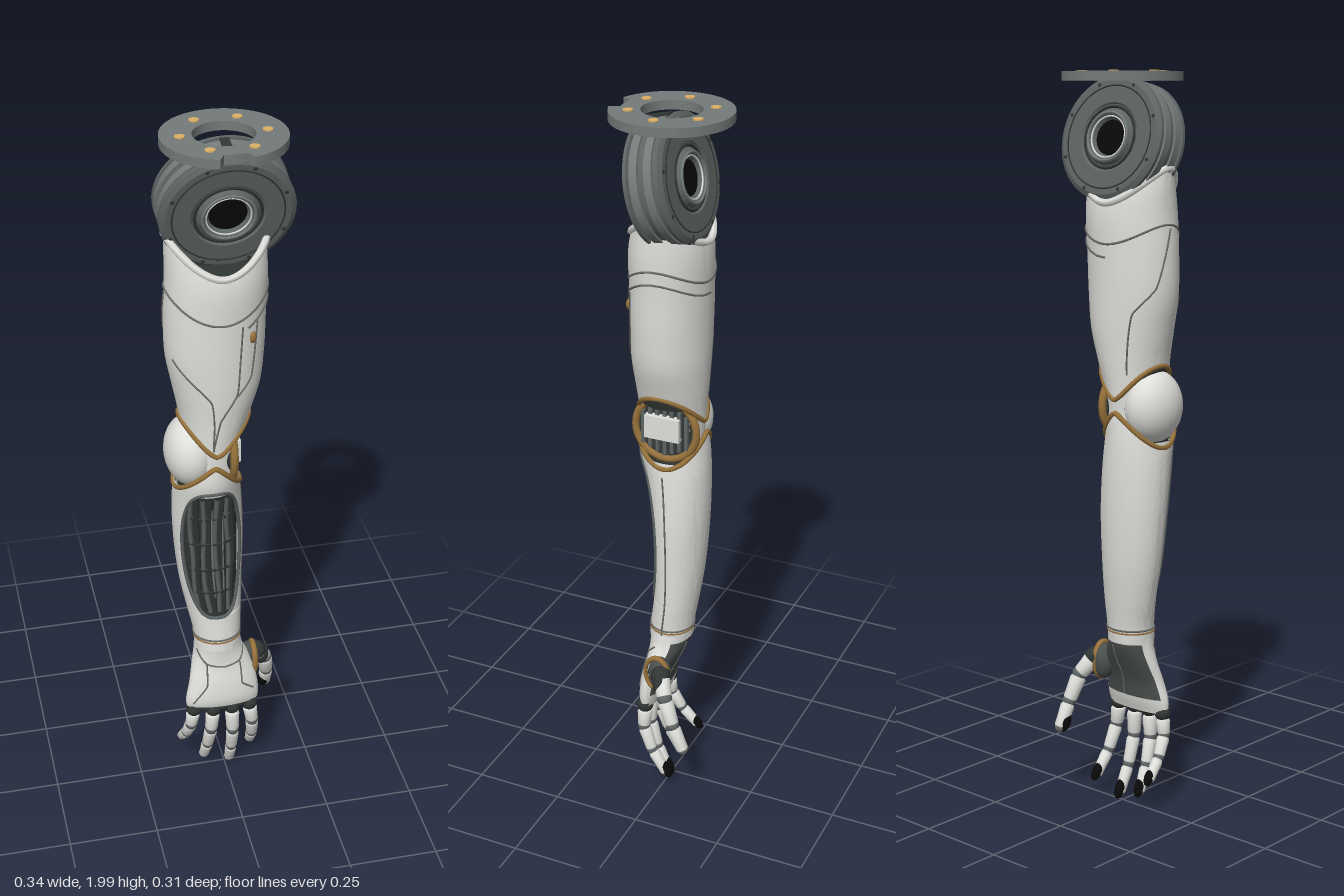
import * as THREE from 'three';
import { toCreasedNormals } from 'three/addons/utils/BufferGeometryUtils.js';

const mat = (name, color, side = THREE.FrontSide) => {
  const m = new THREE.MeshStandardMaterial({ color, side });
  m.name = name;
  return m;
};
const white = mat('shell white', 0xdfdfdb, THREE.DoubleSide);
const flangeGray = mat('flange gray', 0x757b7a);
const jointGray = mat('joint gray', 0x5e6564);
const seamGray = mat('seam gray', 0x6c6e6a);
const palmGray = mat('palm gray', 0x4a504e, THREE.DoubleSide);
const dark = mat('dark mechanism', 0x313735, THREE.DoubleSide);
const gold = mat('bolt gold', 0xdeb068);
const bronze = mat('trim bronze', 0x98733c);
const black = mat('black rubber', 0x0a0a0a);

const V = (x, y, z) => new THREE.Vector3(x, y, z);
const RAD = Math.PI / 180, TAU = Math.PI * 2;

export function createModel() {
  const root = new THREE.Group();
  root.name = 'mechanicalArm';

  const add = (name, geo, material, pos = [0, 0, 0], parent = root) => {
    const m = new THREE.Mesh(geo, material);
    m.name = name;
    m.position.set(...pos);
    parent.add(m);
    return m;
  };

  // Surface of elliptical sections [y, xMin, xMax, zMin, zMax], lowest first
  const limb = (rows) => {
    const f = new THREE.CubicInterpolant(rows.map(r => r[0]), new Float32Array(rows.flatMap(r => r.slice(1))), 4);
    return (y, a, s = 1) => {
      const [x0, x1, z0, z1] = f.evaluate(Math.min(Math.max(y, rows[0][0]), rows.at(-1)[0]));
      return V((x0 + x1) / 2 + s * (x1 - x0) / 2 * Math.cos(a), y, (z0 + z1) / 2 + s * (z1 - z0) / 2 * Math.sin(a));
    };
  };

  // Skin over a limb surface; low/high give the edges by angle, span the angles by height
  const skin = (at, low, high, { s = 1, span = () => [0, TAU], nu = 56, nv = 48 } = {}) => {
    const pos = [], idx = [];
    for (let j = 0; j <= nv; j++) for (let i = 0; i <= nu; i++) {
      const [a0, a1] = span(low(0) + (high(0) - low(0)) * j / nv);
      const a = a0 + (a1 - a0) * i / nu;
      pos.push(...at(low(a) + (high(a) - low(a)) * j / nv, a, s).toArray());
      if (i < nu && j < nv) {
        const k = j * (nu + 1) + i, up = k + nu + 1;
        idx.push(k, up, k + 1, k + 1, up, up + 1);
      }
    }
    const g = new THREE.BufferGeometry();
    g.setAttribute('position', new THREE.Float32BufferAttribute(pos, 3));
    g.setIndex(idx);
    return toCreasedNormals(g, 0.7);
  };
  const arc = (d0, d1) => () => [d0 * RAD, d1 * RAD];

  const tube = (name, pts, r, material, closed = false) =>
    add(name, new THREE.TubeGeometry(new THREE.CatmullRomCurve3(pts, closed), pts.length * 2, r, 6, closed), material);

  // Line lying on a limb, through [degrees, y] points
  const seam = (name, at, pts, r = 0.0024) => {
    const c = new THREE.CatmullRomCurve3(pts.map(p => V(p[0] * RAD, p[1], 0)), false, 'catmullrom', 0.2);
    tube(name, c.getPoints(28).map(p => at(p.y, p.x, 1.008)), r, seamGray);
  };
  const ring = (name, at, edge, r, material) =>
    tube(name, Array.from({ length: 48 }, (_, i) => at(edge(i / 48 * TAU), i / 48 * TAU)), r, material, true);

  // Mounting flange with front notch and bolts
  const plate = new THREE.Shape();
  plate.absarc(0, 0, 0.157, -Math.PI / 2 + 0.27, Math.PI * 1.5 - 0.27);
  plate.absarc(0, 0, 0.128, -Math.PI / 2 - 0.22, -Math.PI / 2 + 0.22);
  plate.closePath();
  const hole = new THREE.Path();
  hole.absarc(0, 0, 0.077, 0, TAU, true);
  plate.holes.push(hole);
  add('flange', new THREE.ExtrudeGeometry(plate, { depth: 0.024, bevelEnabled: false, curveSegments: 48 })
    .rotateX(-Math.PI / 2), flangeGray, [0, 1.973, 0]);
  for (let i = 0; i < 6; i++)
    add('flangeBolt', new THREE.CylinderGeometry(0.0135, 0.0135, 0.01, 8), gold,
      [0.108 * Math.cos(i * 60 * RAD), 1.995, 0.108 * Math.sin(i * 60 * RAD)]);

  // Tilted shoulder drum: broad flat faces, banded rim and hub
  const drum = new THREE.Group();
  drum.name = 'shoulderDrum';
  drum.position.set(0, 1.819, 0);
  drum.rotation.x = Math.PI / 2 + 0.23;
  drum.scale.x = 1.05;
  root.add(drum);
  const half = [[0.045, 0.045], [0.058, 0.061], [0.068, 0.061], [0.074, 0.051], [0.086, 0.051], [0.09, 0.055], [0.15, 0.055],
    [0.163, 0.047], [0.163, 0.038], [0.156, 0.036], [0.156, 0.006]];
  const profile = [...half.map(([r, h]) => [r, -h]), ...half.slice().reverse()];
  add('drumBody', toCreasedNormals(new THREE.LatheGeometry(profile.map(p => new THREE.Vector2(...p)), 56), 0.5), jointGray, [0, 0, 0], drum);
  add('hubBore', new THREE.CylinderGeometry(0.046, 0.046, 0.094, 32), black, [0, 0, 0], drum);
  for (const s of [-1, 1]) {
    add('rimBand', new THREE.CylinderGeometry(0.162, 0.162, 0.021, 56), flangeGray, [0, s * 0.0195, 0], drum);
    add('hubRing', new THREE.TorusGeometry(0.063, 0.004, 8, 40).rotateX(Math.PI / 2), flangeGray, [0, s * 0.061, 0], drum);
    add('hubLine', new THREE.TorusGeometry(0.054, 0.0025, 6, 40).rotateX(Math.PI / 2), white, [0, s * 0.057, 0], drum);
    add('faceGroove', new THREE.TorusGeometry(0.08, 0.004, 6, 48).rotateX(Math.PI / 2), dark, [0, s * 0.051, 0], drum);
    add('faceLine', new THREE.TorusGeometry(0.134, 0.002, 6, 48).rotateX(Math.PI / 2), dark, [0, s * 0.055, 0], drum);
    for (let i = 0; i < 8; i++)
      add('drumScrew', new THREE.CylinderGeometry(0.005, 0.005, 0.01, 8), dark,
        [0.145 * Math.cos((i + 0.5) * 45 * RAD), s * 0.051, 0.145 * Math.sin((i + 0.5) * 45 * RAD)], drum);
  }
  add('drumKey', new THREE.BoxGeometry(0.022, 0.07, 0.012), dark, [0, 0, -0.16], drum);

  // Upper arm shell: scooped collar on top, arched edge at the elbow
  const upper = limb([[1.1, -0.115, 0.035, -0.075, 0.105], [1.17, -0.118, 0.04, -0.078, 0.106], [1.25, -0.125, 0.065, -0.085, 0.11],
    [1.33, -0.14, 0.09, -0.09, 0.115], [1.42, -0.156, 0.1, -0.092, 0.117], [1.53, -0.158, 0.104, -0.094, 0.117],
    [1.64, -0.153, 0.108, -0.095, 0.116], [1.7, -0.153, 0.106, -0.085, 0.102], [1.77, -0.152, 0.104, -0.055, 0.075]]);
  const collar = a => 1.665 + (Math.cos(a) < 0 ? 0.09 : 0.07) * Math.abs(Math.cos(a)) ** 1.8;
  const elbowHigh = a => 1.152 + 0.088 * Math.abs(Math.cos(a)) ** 1.4;
  add('upperArmShell', skin(upper, elbowHigh, collar), white);
  ring('collarRim', upper, collar, 0.01, white);
  ring('upperElbowTrim', upper, elbowHigh, 0.007, bronze);
  add('upperArmCore', skin(upper, () => 1.2, () => 1.66, { s: 0.94, nv: 12 }), dark);
  add('collarFloor', new THREE.CircleGeometry(1, 32).rotateX(-Math.PI / 2), dark, [-0.022, 1.66, 0.01]).scale.set(0.126, 1, 0.1);

  const band = d => Array.from({ length: 25 }, (_, i) => {
    const a = i * 15 * RAD;
    return [i * 15, 1.55 + 0.06 * Math.cos(a) ** 2 - 0.01 * Math.sin(a) - d];
  });
  seam('collarSeam', upper, band(0), 0.003);
  seam('collarSeamLower', upper, [...band(0.035).slice(-7), ...band(0.035).slice(1, 5).map(p => [p[0] + 360, p[1]])], 0.003);
  seam('frontSeam', upper, [[67, 1.53], [72, 1.34], [92, 1.26], [98, 1.17]]);
  seam('outerSeam', upper, [[155, 1.43], [106, 1.32], [98, 1.17]]);
  seam('innerSeam', upper, [[45, 1.53], [52, 1.38], [72, 1.33]]);
  seam('rearSeam', upper, [[180, 1.6], [205, 1.45], [235, 1.38], [240, 1.22]]);
  add('armStud', new THREE.SphereGeometry(0.01, 12, 8), bronze, upper(1.49, 52 * RAD).toArray()).scale.y = 1.6;

  // Elbow joint: axle, bronze lining, ribs, inner block, front and back bridges, outer cap
  add('elbowAxle', new THREE.CylinderGeometry(0.082, 0.082, 0.105, 32).rotateZ(Math.PI / 2), dark, [-0.045, 1.13, 0.015]);
  add('elbowLining', new THREE.TorusGeometry(0.088, 0.011, 8, 48).rotateY(Math.PI / 2), bronze, [0.006, 1.13, 0.015]);
  for (let i = -3; i <= 3; i++)
    add('elbowRib', new THREE.BoxGeometry(0.02, 0.15 - Math.abs(i) * 0.018, 0.01), jointGray, [0.008, 1.13, 0.015 + i * 0.021]);
  add('elbowBlock', new THREE.BoxGeometry(0.05, 0.065, 0.1), white, [0.006, 1.138, 0.018]);
  for (const d of [90, 270])
    add('elbowBridge', skin(upper, () => 1.08, () => 1.19, { s: 0.97, span: arc(d - 40, d + 40), nu: 16, nv: 6 }), white);
  add('elbowCap', new THREE.SphereGeometry(1, 32, 20), white, [-0.095, 1.13, 0.016]).scale.set(0.07, 0.098, 0.09);

  // Forearm shell with a long blunt oval opening in front
  const fore = limb([[0.48, -0.088, 0.042, -0.05, 0.072], [0.52, -0.09, 0.043, -0.053, 0.068], [0.6, -0.106, 0.046, -0.064, 0.06],
    [0.7, -0.125, 0.048, -0.076, 0.063], [0.85, -0.14, 0.05, -0.085, 0.074], [0.98, -0.142, 0.043, -0.087, 0.092],
    [1.06, -0.135, 0.035, -0.085, 0.112], [1.15, -0.115, 0.03, -0.078, 0.105]]);
  const elbowLow = a => 1.118 - 0.093 * Math.abs(Math.cos(a)) ** 1.4;
  const openHalf = y => 57 * RAD * Math.max(0, 1 - ((y - 0.815) / 0.223) ** 2) ** 0.3;
  const openAt = t => {
    const y = 0.815 + 0.223 * Math.sin(t);
    return [y, Math.PI / 2 + Math.sign(Math.cos(t)) * openHalf(y)];
  };
  add('forearmShell', skin(fore, () => 0.48, () => 1.04, { span: y => [Math.PI / 2 + openHalf(y), Math.PI * 2.5 - openHalf(y)], nv: 140 }), white);
  add('forearmTop', skin(fore, () => 1.025, elbowLow, { nv: 8 }), white);
  ring('lowerElbowTrim', fore, elbowLow, 0.007, bronze);
  tube('openingRim', Array.from({ length: 80 }, (_, i) => fore(...openAt((i + 0.5) / 80 * TAU))), 0.005, jointGray, true);

  // Mechanism behind the opening: core, cables, pale rods and cross bands
  add('forearmCore', skin(fore, () => 0.5, () => 1.04, { s: 0.85, nv: 16 }), dark);
  for (let i = 0; i < 8; i++) {
    const a = (48 + i * 12) * RAD;
    const pts = [0.61, 0.7, 0.8, 0.9, 1.01].map((y, k) => fore(y, a + 0.05 * Math.sin(k * 2 + i), 0.89));
    tube('cable', pts, 0.007, i % 2 ? jointGray : dark);
  }
  for (const d of [72, 92])
    tube('rod', [0.66, 0.8, 0.98].map(y => fore(y, d * RAD, 0.93)), 0.0035, flangeGray);
  for (const y of [0.68, 0.76, 0.85, 0.94])
    tube('cableBand', [40, 65, 90, 115, 140].map(d => fore(y, d * RAD, 0.91)), 0.006, dark);
  seam('forearmSeam', fore, [[4, 1.0], [4, 0.75], [4, 0.5]]);
  ring('wristSeam', fore, () => 0.515, 0.003, seamGray);
  ring('wristTrim', fore, () => 0.507, 0.0025, bronze);

  // Hand: white back, sides and finger pads, gray palm
  const hand = limb([[0.27, -0.118, 0.085, 0.025, 0.075], [0.3, -0.122, 0.09, 0.015, 0.084], [0.36, -0.11, 0.085, 0.002, 0.08],
    [0.42, -0.098, 0.07, -0.025, 0.068], [0.46, -0.09, 0.05, -0.042, 0.067], [0.5, -0.088, 0.042, -0.05, 0.069]]);
  const palmSide = { span: arc(205, 335), nu: 24, nv: 12 };
  add('handBack', skin(hand, () => 0.285, () => 0.5, { span: arc(-25, 205), nv: 20 }), white);
  add('fingerPads', skin(hand, () => 0.27, () => 0.312, palmSide), white);
  add('palm', skin(hand, () => 0.312, () => 0.475, palmSide), palmGray);
  add('palmHeel', skin(hand, () => 0.475, () => 0.5, palmSide), white);
  add('knuckleBar', new THREE.SphereGeometry(1, 24, 12), dark, [-0.017, 0.28, 0.052]).scale.set(0.1, 0.024, 0.028);
  seam('palmSeam', hand, [[285, 0.47], [275, 0.39], [280, 0.315]]);
  seam('handSeam', hand, [[160, 0.47], [125, 0.43], [90, 0.42], [55, 0.43], [20, 0.46]]);
  seam('handSeam', hand, [[125, 0.43], [122, 0.36], [145, 0.3]]);
  seam('handSeam', hand, [[55, 0.43], [60, 0.36], [35, 0.33]]);

  // Thumb socket
  add('thumbSocket', new THREE.SphereGeometry(1, 20, 14), palmGray, [0.072, 0.395, 0.005]).scale.set(0.032, 0.05, 0.034);
  add('thumbSocketTrim', new THREE.TorusGeometry(0.05, 0.008, 8, 32).rotateY(Math.PI / 2), bronze, [0.082, 0.397, 0.01]).scale.z = 0.7;

  // Fingers: tapered links, dark joints and a black pad on the gripping side
  const digit = (name, pts, r, grip, root0) => {
    const g = new THREE.Group();
    g.name = name;
    root.add(g);
    for (let i = 0; i < 3; i++) {
      const a = V(...pts[i]), b = V(...pts[i + 1]), d = b.clone().sub(a), len = d.length();
      const q = new THREE.Quaternion().setFromUnitVectors(V(0, -1, 0), d.normalize());
      const ra = r * (1 - 0.1 * i), rb = ra * 0.88, start = len * (i ? 0.08 : root0), l = len * 0.98 - start;
      const link = [[0, 0], [ra * 0.8, 0], [ra, l * 0.12], [ra * 0.92, l * 0.5], [rb, l * 0.9], [rb * 0.75, l], [0, l]];
      const geo = new THREE.LatheGeometry(link.reverse().map(([x, y]) => new THREE.Vector2(x, -y)), 16);
      add('link', geo, white, a.clone().addScaledVector(d, start).toArray(), g).quaternion.copy(q);
      add('joint', new THREE.SphereGeometry(ra * (i ? 0.95 : 1.12), 14, 10), i ? jointGray : dark, a.toArray(), g);
      if (i === 2) {
        add('tip', new THREE.SphereGeometry(rb * 0.9, 14, 10), seamGray, a.clone().lerp(b, 0.92).toArray(), g);
        const pad = add('pad', new THREE.SphereGeometry(1, 16, 12), black, a.clone().lerp(b, 0.74).add(V(...grip)).toArray(), g);
        pad.scale.set(rb * 0.98, len * 0.36, rb * 0.98);
        pad.quaternion.copy(q);
      }
    }
  };
  const back = [0, -0.003, -0.007];
  digit('littleFinger', [[-0.1, 0.27, 0.054], [-0.108, 0.21, 0.05], [-0.116, 0.155, 0.02], [-0.122, 0.1, -0.03]], 0.02, back, 0.28);
  digit('ringFinger', [[-0.045, 0.268, 0.062], [-0.051, 0.19, 0.06], [-0.057, 0.115, 0.036], [-0.062, 0.042, 0]], 0.021, back, 0.24);
  digit('middleFinger', [[0.01, 0.268, 0.062], [0.012, 0.18, 0.063], [0.013, 0.097, 0.04], [0.014, 0.018, 0.003]], 0.021, back, 0.22);
  digit('indexFinger', [[0.062, 0.268, 0.056], [0.071, 0.2, 0.056], [0.077, 0.128, 0.028], [0.082, 0.06, -0.02]], 0.021, back, 0.26);
  digit('thumb', [[0.096, 0.405, -0.008], [0.128, 0.355, -0.035], [0.141, 0.28, -0.065], [0.145, 0.205, -0.1]], 0.025, [-0.006, 0, 0.004], 0.08);
  add('thumbWeb', new THREE.SphereGeometry(1, 16, 12), dark, [0.112, 0.385, -0.012]).scale.set(0.022, 0.034, 0.02);

  return root;
}
